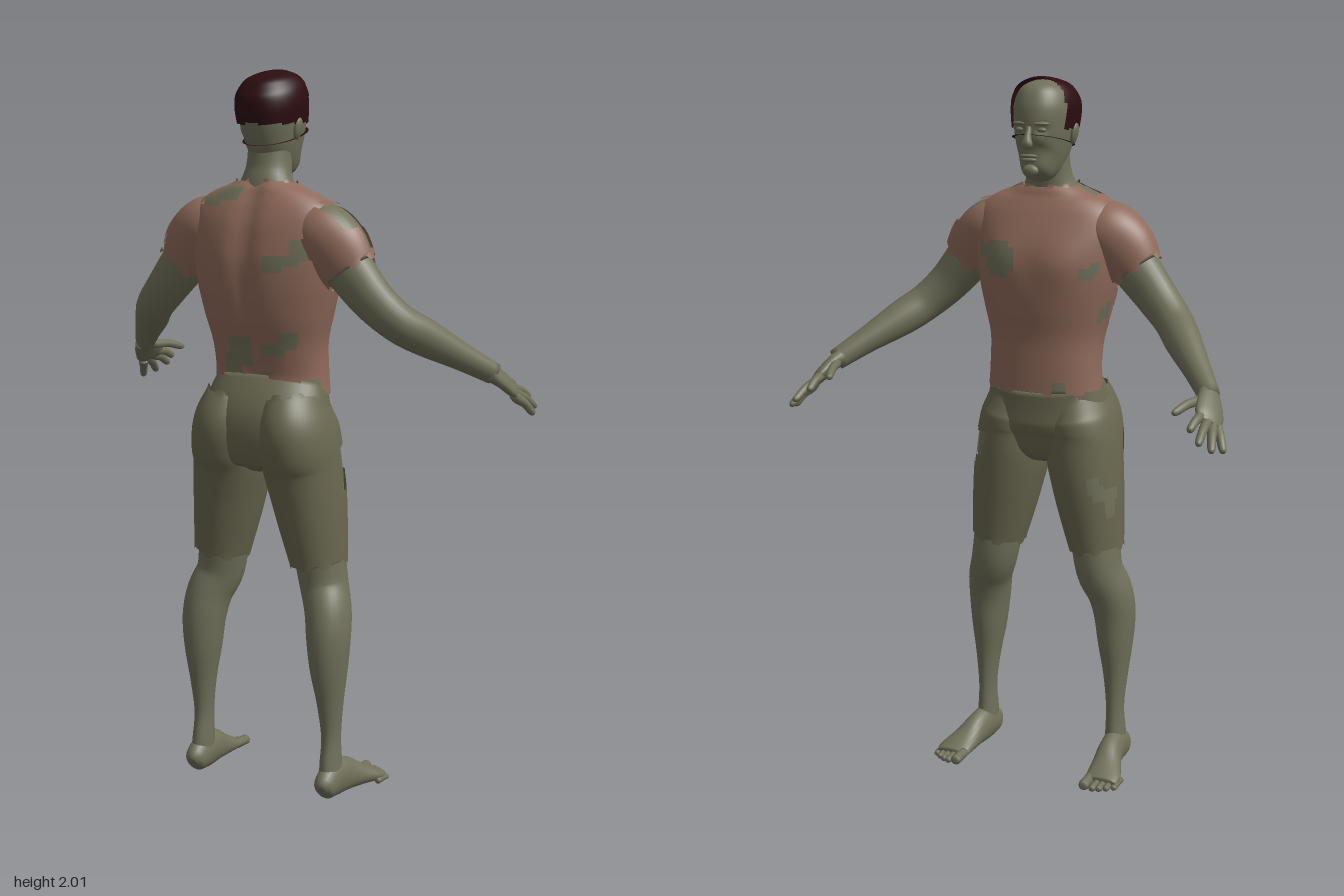
import * as THREE from 'three';

const material = (name, color, cloth) => {
  const m = new THREE.MeshStandardMaterial({ color, side: cloth ? THREE.DoubleSide : THREE.FrontSide });
  m.name = name;
  return m;
};

// Catmull-Rom interpolation over rows of numbers
function resample(rows, steps) {
  const out = [], n = rows.length - 1;
  for (let k = 0; k <= n * steps; k++) {
    const i = Math.min(Math.floor(k / steps), n - 1), f = k / steps - i;
    const a = rows[Math.max(i - 1, 0)], b = rows[i], c = rows[i + 1], d = rows[Math.min(i + 2, n)];
    out.push(b.map((v, q) => v + 0.5 * f * (c[q] - a[q] + f * (2 * a[q] - 5 * v + 4 * c[q] - d[q]
      + f * (3 * (v - c[q]) + d[q] - a[q])))));
  }
  return out;
}

// Skin over oval sections [x, y, z, radius along ref, other radius]; keep(angle, point) cuts holes
function loft(rows, { ref = [1, 0, 0], seg = 20, steps = 4, power = 1, cap = true, jag = 0, shape, keep } = {}) {
  const rings = resample(rows, steps), last = rings.length - 1, pos = [], index = [];
  const centers = rings.map(r => new THREE.Vector3(r[0], r[1], r[2]));
  const bend = v => Math.sign(v) * Math.abs(v) ** power;
  rings.forEach((r, i) => {
    const t = centers[Math.min(i + 1, last)].clone().sub(centers[Math.max(i - 1, 0)]).normalize();
    const u = new THREE.Vector3(...ref);
    u.addScaledVector(t, -u.dot(t)).normalize();
    const v = t.clone().cross(u), end = i === last ? 1 : i === 0 ? -1 : 0;
    for (let j = 0; j < seg; j++) {
      const a = j / seg * Math.PI * 2;
      const p = centers[i].clone().addScaledVector(u, r[3] * bend(Math.cos(a))).addScaledVector(v, r[4] * bend(Math.sin(a)));
      p.addScaledVector(t, end * jag * ((Math.floor(j / 3) * 7) % 5 > 2 ? 1 : -0.4));
      if (shape) shape(p);
      pos.push(p.x, p.y, p.z);
    }
  });
  for (let i = 0; i < last; i++) for (let j = 0; j < seg; j++) {
    const a = i * seg + j, b = i * seg + (j + 1) % seg, c = b + seg, d = a + seg;
    const mid = new THREE.Vector3(...[0, 1, 2].map(q => (pos[a * 3 + q] + pos[c * 3 + q]) / 2));
    if (!keep || keep((j + 0.5) / seg * 360, mid)) index.push(a, b, c, a, c, d);
  }
  if (cap) {
    const s = pos.length / 3, e = last * seg;
    pos.push(...centers[0].toArray(), ...centers[last].toArray());
    for (let j = 0; j < seg; j++) {
      const k = (j + 1) % seg;
      index.push(s, k, j, s + 1, e + j, e + k);
    }
  }
  const g = new THREE.BufferGeometry();
  g.setAttribute('position', new THREE.Float32BufferAttribute(pos, 3));
  g.setIndex(index);
  g.computeVertexNormals();
  return g;
}

const grow = (rows, d) => rows.map(r => [r[0], r[1], r[2], r[3] + d, r[4] + d]);
const flip = (rows, s) => rows.map(r => [r[0] * s, ...r.slice(1)]);
// Holes are [angle from, angle to, y from, y to]
const outside = holes => (a, p) => !holes.some(h => a > h[0] && a < h[1] && p.y > h[2] && p.y < h[3]);

export function createModel() {
  const group = new THREE.Group();
  const skin = material('skin', 0x70705a), shirt = material('shirt cloth', 0x8f6a5a, true);
  const shorts = material('shorts cloth', 0x69674f, true), hair = material('hair', 0x2c0d10, true);
  const add = (name, geometry, mat) => {
    const m = new THREE.Mesh(geometry, mat);
    m.name = name;
    group.add(m);
    return m;
  };
  const ball = (name, x, y, z, rx, ry, rz) => {
    const m = add(name, new THREE.SphereGeometry(1, 16, 12), skin);
    m.position.set(x, y, z);
    m.scale.set(rx, ry, rz);
    return m;
  };

  // Torso and torn shirt
  const torso = [
    [0, 1.14, 0.105, 0.17, 0.11], [0, 1.2, 0.104, 0.165, 0.108], [0, 1.28, 0.113, 0.167, 0.118],
    [0, 1.36, 0.12, 0.186, 0.135], [0, 1.44, 0.124, 0.204, 0.144], [0, 1.52, 0.128, 0.215, 0.142],
    [0, 1.59, 0.133, 0.222, 0.124], [0, 1.64, 0.134, 0.212, 0.104], [0, 1.675, 0.133, 0.17, 0.086],
    [0, 1.698, 0.131, 0.115, 0.074], [0, 1.712, 0.13, 0.085, 0.066]];
  const muscles = p => {
    const side = Math.abs(p.x);
    if (p.z > 0.15) p.z -= 0.014 * Math.exp(-((p.x / 0.03) ** 2));
    else if (p.z < 0.08) p.z -= 0.01 * Math.exp(-(((side - 0.09) / 0.06) ** 2) - ((p.y - 1.5) / 0.06) ** 2);
  };
  const shirtHoles = [
    [48, 82, 1.485, 1.54], [56, 74, 1.46, 1.56], [40, 52, 1.505, 1.55],
    [130, 146, 1.46, 1.5], [138, 152, 1.475, 1.515], [158, 168, 1.33, 1.38], [170, 182, 1.35, 1.4],
    [215, 245, 1.645, 1.675], [232, 258, 1.665, 1.7], [190, 206, 1.32, 1.38],
    [290, 315, 1.5, 1.53], [305, 328, 1.52, 1.565], [286, 300, 1.475, 1.52],
    [242, 258, 1.18, 1.25], [252, 272, 1.22, 1.3], [236, 246, 1.18, 1.2],
    [282, 304, 1.25, 1.285], [298, 318, 1.27, 1.325], [274, 284, 1.17, 1.2],
    [318, 352, 1.13, 1.19], [108, 126, 1.13, 1.17], [20, 34, 1.69, 1.72], [170, 200, 1.685, 1.72]];
  add('torso', loft(grow(torso, -0.007), { seg: 48, power: 0.9, shape: muscles }), skin);
  add('shirt', loft(torso, { seg: 72, steps: 5, power: 0.9, cap: false, jag: 0.006, shape: muscles, keep: outside(shirtHoles) }), shirt);

  // Neck and head
  add('neck', loft([[0, 1.64, 0.135, 0.11, 0.07], [0, 1.7, 0.131, 0.08, 0.062], [0, 1.75, 0.12, 0.063, 0.058],
    [0, 1.83, 0.11, 0.06, 0.06]], { seg: 28 }), skin);
  const skull = [
    [0, 1.738, 0.025, 0.022, 0.024], [0, 1.75, 0.035, 0.042, 0.045], [0, 1.785, 0.065, 0.06, 0.08],
    [0, 1.825, 0.083, 0.071, 0.099], [0, 1.87, 0.093, 0.078, 0.109], [0, 1.915, 0.1, 0.082, 0.111],
    [0, 1.95, 0.104, 0.075, 0.102], [0, 1.975, 0.108, 0.058, 0.08], [0, 1.988, 0.11, 0.036, 0.052],
    [0, 1.993, 0.111, 0.012, 0.018]];
  const face = p => {
    if (p.z < 0.04) p.z += 0.01 * Math.exp(-(((Math.abs(p.x) - 0.032) / 0.018) ** 2) - ((p.y - 1.868) / 0.013) ** 2);
  };
  add('head', loft(skull, { seg: 48, steps: 5, power: 0.93, shape: face }), skin);
  const cap = skull.slice(3).map(r => [0, r[1] + 0.007, r[2] + 0.002, r[3] + 0.01, r[4] + 0.008]);
  add('hair', loft(cap, { seg: 64, steps: 8, power: 0.93, keep: (a, p) => p.y > 1.866 && p.z > 0.05 }), hair);
  add('nose', loft([[0, 1.875, -0.008, 0.008, 0.008], [0, 1.85, -0.018, 0.01, 0.011], [0, 1.83, -0.024, 0.017, 0.013],
    [0, 1.821, -0.018, 0.013, 0.009]], { seg: 14 }), skin);
  ball('upper lip', 0, 1.797, -0.013, 0.026, 0.006, 0.009);
  ball('lower lip', 0, 1.786, -0.01, 0.023, 0.007, 0.01);
  ball('chin', 0, 1.756, -0.001, 0.024, 0.017, 0.014);

  for (const s of [1, -1]) {
    const side = s > 0 ? 'left' : 'right';
    const part = (name, rows, mat, options) => add(`${side} ${name}`, loft(flip(rows, s), options), mat);
    ball(`${side} eye`, 0.032 * s, 1.867, 0.002, 0.014, 0.007, 0.009);
    ball(`${side} brow`, 0.032 * s, 1.884, -0.002, 0.024, 0.006, 0.01).rotation.y = -0.35 * s;
    ball(`${side} ear`, 0.083 * s, 1.852, 0.108, 0.009, 0.03, 0.018).rotation.z = -0.2 * s;

    // Sleeve and arm
    const sleeve = [[0.12, 1.605, 0.136, 0.075, 0.065], [0.175, 1.582, 0.137, 0.088, 0.09],
      [0.222, 1.535, 0.138, 0.08, 0.095], [0.262, 1.483, 0.138, 0.066, 0.08]];
    const sleeveHoles = s > 0 ? [[235, 305, 1.6, 1.66], [250, 280, 1.55, 1.62]] : [[40, 75, 1.52, 1.56]];
    part('sleeve', sleeve, shirt, { ref: [0, 0, 1], seg: 48, steps: 8, cap: false, jag: 0.01, keep: outside(sleeveHoles) });
    part('shoulder', grow(sleeve, -0.007), skin, { ref: [0, 0, 1], seg: 32, steps: 5 });
    part('arm', [[0.2, 1.55, 0.138, 0.06, 0.07], [0.262, 1.482, 0.138, 0.057, 0.068], [0.325, 1.41, 0.132, 0.053, 0.06],
      [0.385, 1.352, 0.105, 0.052, 0.054], [0.435, 1.31, 0.05, 0.047, 0.052], [0.51, 1.25, -0.035, 0.036, 0.038],
      [0.57, 1.2, -0.105, 0.025, 0.031]], skin, { ref: [0, 0, 1], seg: 24 });

    // Hand with spread fingers
    const across = [0.045 * s, -0.04, 0.028];
    part('palm', [[0.56, 1.208, -0.092, 0.029, 0.025], [0.577, 1.188, -0.125, 0.039, 0.02], [0.59, 1.162, -0.162, 0.044, 0.018],
      [0.598, 1.145, -0.186, 0.036, 0.011]], skin, { ref: across, seg: 20 });
    const fingers = [['index finger', 0.577, 1.168, -0.18, 0.57, 1.14, -0.258], ['middle finger', 0.592, 1.152, -0.182, 0.604, 1.112, -0.282],
      ['ring finger', 0.604, 1.14, -0.175, 0.632, 1.09, -0.258], ['little finger', 0.614, 1.13, -0.162, 0.648, 1.08, -0.21],
      ['thumb', 0.555, 1.196, -0.13, 0.517, 1.176, -0.236]];
    for (const [name, ax, ay, az, bx, by, bz] of fingers) {
      const at = (f, r, lift = 0) => [ax + (bx - ax) * f, ay + (by - ay) * f + lift, az + (bz - az) * f, r, r];
      part(name, [at(-0.15, 0.013), at(0.1, 0.014), at(0.5, 0.012, 0.005), at(0.88, 0.0105), at(1, 0.005)], skin, { ref: across, seg: 10, steps: 3 });
    }

    // Shorts leg over the thigh
    const thigh = [[0.088, 1.13, 0.135, 0.08, 0.11], [0.1, 1.06, 0.143, 0.1, 0.137], [0.109, 1.0, 0.139, 0.106, 0.136],
      [0.113, 0.94, 0.128, 0.109, 0.123], [0.126, 0.86, 0.122, 0.103, 0.113], [0.139, 0.78, 0.12, 0.094, 0.103],
      [0.157, 0.67, 0.118, 0.078, 0.088]];
    const shortsHoles = s > 0
      ? [[295, 345, 0.96, 1.0], [318, 345, 0.9, 0.98], [300, 322, 0.93, 0.97], [330, 352, 0.88, 0.92]]
      : [[195, 240, 0.83, 0.87], [200, 218, 0.78, 0.85], [228, 245, 0.85, 0.9], [150, 170, 0.95, 1.01]];
    part('thigh', grow(thigh.slice(2), -0.007), skin, { seg: 32 });
    part('shorts leg', thigh, shorts, { seg: 54, steps: 7, cap: false, jag: 0.008, keep: outside(shortsHoles) });

    // Lower leg
    part('lower leg', [[0.152, 0.72, 0.115, 0.072, 0.078], [0.168, 0.61, 0.11, 0.067, 0.073], [0.193, 0.54, 0.132, 0.064, 0.072],
      [0.203, 0.47, 0.147, 0.06, 0.07], [0.206, 0.38, 0.149, 0.05, 0.064], [0.209, 0.28, 0.146, 0.035, 0.046],
      [0.21, 0.18, 0.142, 0.025, 0.036], [0.211, 0.1, 0.145, 0.028, 0.043], [0.213, 0.05, 0.145, 0.03, 0.048]], skin, { seg: 28 });

    // Foot and toes
    part('foot', [[0.213, 0.035, 0.204, 0.015, 0.02], [0.213, 0.043, 0.188, 0.03, 0.039], [0.214, 0.055, 0.14, 0.034, 0.054],
      [0.219, 0.05, 0.085, 0.036, 0.05], [0.23, 0.034, 0.03, 0.044, 0.034], [0.241, 0.022, -0.018, 0.051, 0.022],
      [0.243, 0.016, -0.045, 0.046, 0.014]], skin, { seg: 24 });
    for (let i = 0; i < 5; i++) {
      const r = i ? 0.0105 - i * 0.0004 : 0.015, x = i ? 0.215 + i * 0.018 : 0.207, tip = -0.09 + i * i * 0.0022;
      part(`toe ${i + 1}`, [[x, r + 0.004, tip + 0.06, r, r], [x, r + 0.002, tip + 0.025, r, r],
        [x, r, tip + 0.006, r, r * 0.95], [x, r, tip, r * 0.5, r * 0.5]], skin, { seg: 10, steps: 3 });
    }
  }

  // Seat of the shorts
  add('shorts seat', loft([[0, 0.925, 0.125, 0.05, 0.07], [0, 0.955, 0.126, 0.15, 0.105], [0, 1.0, 0.134, 0.205, 0.125],
    [0, 1.05, 0.135, 0.2, 0.132], [0, 1.1, 0.126, 0.185, 0.125], [0, 1.165, 0.106, 0.164, 0.104]], { seg: 48, power: 0.92 }), shorts);
  return group;
}
